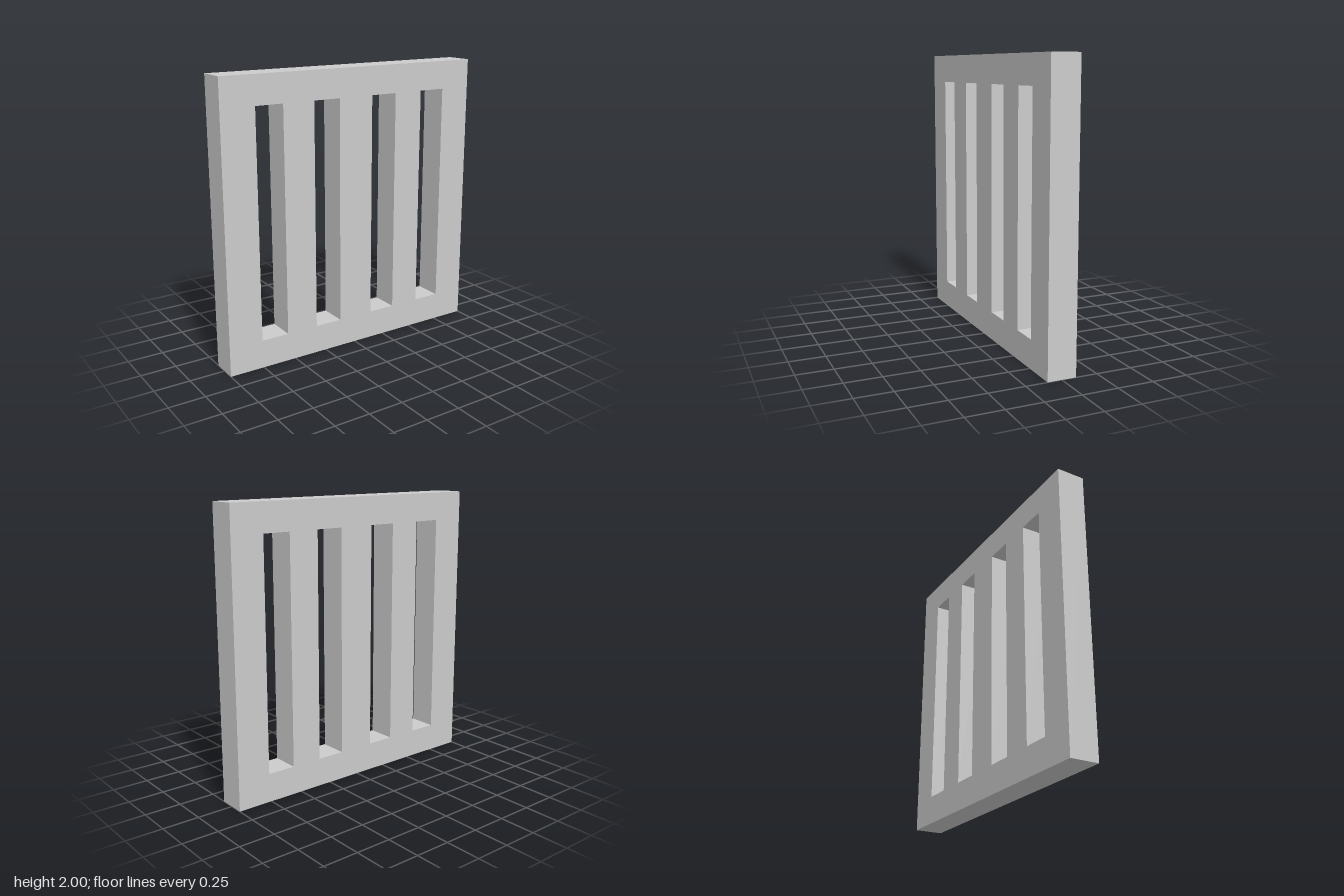
import * as THREE from 'three';

const SIZE = 2, DEPTH = 0.2, BORDER = 0.2, SLOT_WIDTH = 0.2;
const SLOT_CENTRES = [-0.656, -0.224, 0.241, 0.664];

// Closed rectangle between two corners
function rectangle(path, x0, y0, x1, y1) {
  path.moveTo(x0, y0);
  path.lineTo(x1, y0);
  path.lineTo(x1, y1);
  path.lineTo(x0, y1);
  path.closePath();
  return path;
}

export function createModel() {
  const group = new THREE.Group();
  group.name = 'slottedPanel';

  // Square slab with four upright slots cut through it
  const outline = rectangle(new THREE.Shape(), -SIZE / 2, 0, SIZE / 2, SIZE);
  for (const x of SLOT_CENTRES) {
    outline.holes.push(rectangle(new THREE.Path(),
      x - SLOT_WIDTH / 2, BORDER, x + SLOT_WIDTH / 2, SIZE - BORDER));
  }
  const geometry = new THREE.ExtrudeGeometry(outline, { depth: DEPTH, bevelEnabled: false });
  geometry.translate(0, 0, -DEPTH / 2);

  const panel = new THREE.Mesh(geometry, new THREE.MeshStandardMaterial({ color: 0xcccccc }));
  panel.name = 'barredPanel';
  group.add(panel);
  return group;
}
